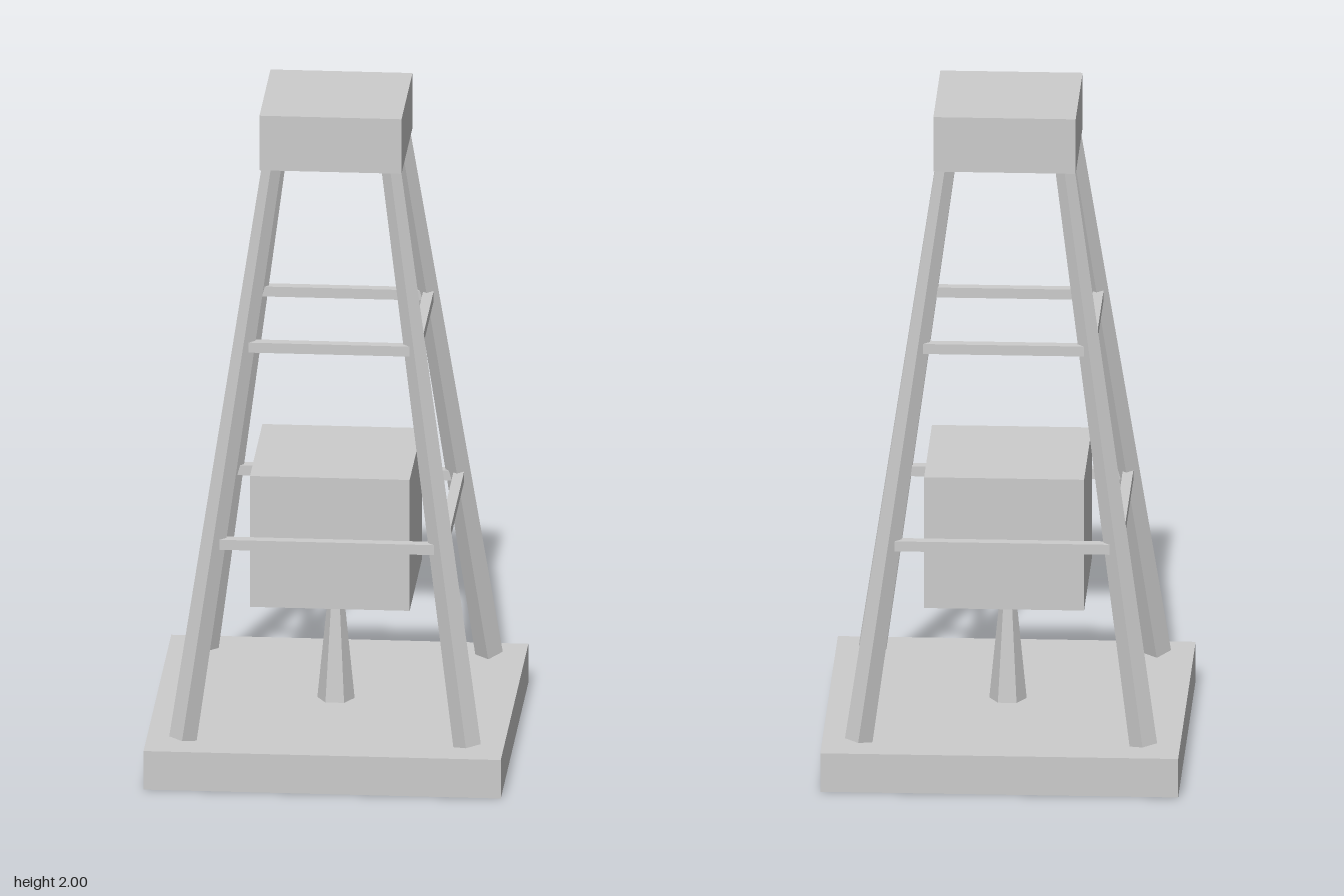
import * as THREE from 'three';

const grey = new THREE.MeshStandardMaterial({ color: 0xcccccc, flatShading: true, side: THREE.DoubleSide });
grey.name = 'light grey';

function add(parent, name, geometry, x = 0, y = 0, z = 0) {
  const mesh = new THREE.Mesh(geometry, grey);
  mesh.name = name;
  mesh.position.set(x, y, z);
  parent.add(mesh);
  return mesh;
}

// Square box from y0 to y1 with no underside
function openBox(parent, name, width, y0, y1) {
  const geo = new THREE.BoxGeometry(width, y1 - y0, width);
  const index = Array.from(geo.index.array);
  index.splice(18, 6); // drop the bottom face
  geo.setIndex(index);
  geo.clearGroups();
  return add(parent, name, geo, 0, (y0 + y1) / 2, 0);
}

// Leg axis: distance from the centre along x and z at height y
const LEG_BOTTOM = 0.125, LEG_TOP = 1.92;
const legOffset = (y) => 0.42 - 0.1425 * (y - LEG_BOTTOM);

export function createModel() {
  const model = new THREE.Group();
  model.name = 'tower';

  // Hollow blocks: base slab, hanging tank and top cap
  openBox(model, 'base', 1.056, 0, 0.12);
  openBox(model, 'tank', 0.472, 0.477, 0.885);
  openBox(model, 'cap', 0.42, 1.83, 2);

  // Tapered six-sided post under the tank, one corner on the x axis
  const post = new THREE.CylinderGeometry(0, 0.067, 0.68, 6, 1, true, Math.PI / 6 * 3);
  add(model, 'post', post, 0, 0.34, 0);

  // Four tapered square legs leaning in along the diagonals
  const up = new THREE.Vector3(0, 1, 0);
  for (const sx of [-1, 1]) {
    for (const sz of [-1, 1]) {
      const b = legOffset(LEG_BOTTOM), t = legOffset(LEG_TOP);
      const from = new THREE.Vector3(sx * b, LEG_BOTTOM, sz * b);
      const to = new THREE.Vector3(sx * t, LEG_TOP, sz * t);
      const dir = to.clone().sub(from);
      const leg = add(model, 'leg', new THREE.CylinderGeometry(0.028, 0.041, dir.length(), 4));
      leg.position.copy(from).add(to).multiplyScalar(0.5);
      leg.quaternion.setFromUnitVectors(up, dir.normalize());
    }
  }

  // Two square rings of braces between the legs
  for (const [name, y] of [['lowerBrace', 0.709], ['upperBrace', 1.297]]) {
    const d = legOffset(y) + 0.002, thick = 0.031;
    for (const s of [-1, 1]) {
      add(model, name, new THREE.BoxGeometry(2 * d, thick, thick), 0, y, s * d);
      add(model, name, new THREE.BoxGeometry(thick, thick, 2 * d), s * d, y, 0);
    }
  }

  return model;
}
